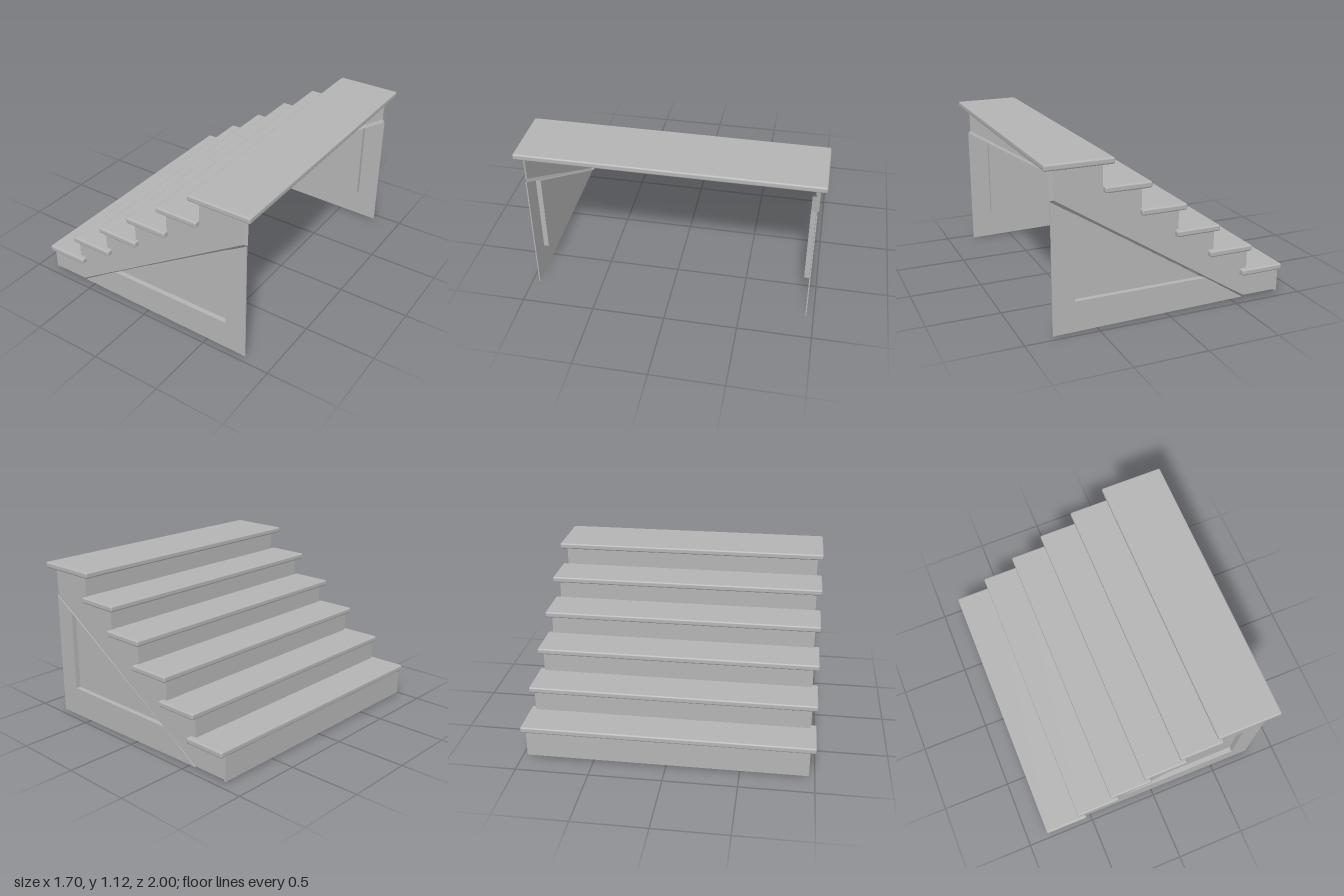
import * as THREE from 'three';
import { RoundedBoxGeometry } from 'three/addons/geometries/RoundedBoxGeometry.js';

export function createModel() {
  const stairs = new THREE.Group();
  stairs.name = 'staircase';
  const paint = new THREE.MeshStandardMaterial({ color: 0xb4b4b4, side: THREE.DoubleSide });
  paint.name = 'grey paint';

  const add = (geometry, name, parent = stairs) => {
    const mesh = new THREE.Mesh(geometry, paint);
    mesh.name = name;
    parent.add(mesh);
    return mesh;
  };

  // Flat plate from an outline in x/y, lying between two z depths
  const plate = (points, za, zb) => {
    const shape = new THREE.Shape(points.map(([x, y]) => new THREE.Vector2(x, y)));
    const geometry = new THREE.ExtrudeGeometry(shape, { depth: Math.abs(zb - za), bevelEnabled: false });
    return geometry.translate(0, 0, Math.min(za, zb));
  };

  // Open strip of quads joining two paths of equal length at two z depths
  const strip = (pathA, za, pathB, zb, flip) => {
    const positions = [];
    for (let i = 0; i < pathA.length - 1; i++) {
      const a = [...pathA[i], za], b = [...pathA[i + 1], za];
      const c = [...pathB[i + 1], zb], d = [...pathB[i], zb];
      const corners = flip ? [a, c, b, a, d, c] : [a, b, c, a, c, d];
      positions.push(...corners.flat());
    }
    const geometry = new THREE.BufferGeometry();
    geometry.setAttribute('position', new THREE.Float32BufferAttribute(positions, 3));
    geometry.computeVertexNormals();
    return geometry;
  };

  const thick = 0.042;
  const treads = [
    [-0.85, -0.54, 0.235], [-0.603, -0.288, 0.41], [-0.352, -0.04, 0.588],
    [-0.105, 0.21, 0.767], [0.145, 0.46, 0.945], [0.395, 0.85, 1.125],
  ];
  const riserX = [-0.845, -0.59, -0.328, -0.063, 0.2, 0.46];

  // Treads with softened edges, and the risers below them
  treads.forEach(([x0, x1, top], i) => {
    const tread = add(new RoundedBoxGeometry(x1 - x0, thick, 2, 2, 0.012), `tread${i + 1}`);
    tread.position.set((x0 + x1) / 2, top - thick / 2, 0);

    const low = i ? treads[i - 1][2] - thick / 2 : 0.02;
    const high = top - thick / 2;
    const riser = add(new THREE.BoxGeometry(0.012, high - low, 1.916), `riser${i + 1}`);
    riser.position.set(riserX[i] + 0.006, (low + high) / 2, 0);
  });

  // Stepped upper outline of the side board, from the top step down
  const steps = [];
  for (let i = 5; i >= 0; i--) {
    const y = treads[i][2] - thick / 2;
    steps.push([i === 5 ? 0.78 : riserX[i + 1], y], [riserX[i], y]);
  }

  const edgeOuter = [[-0.845, 0.02], [-0.57, 0.02], [0.8, 0.88], [0.8, 1.1]];
  const edgeInner = [[-0.845, 0.034], [-0.577, 0.034], [0.78, 0.892], [0.78, 1.1]];
  const recess = [[-0.28, 0.21], [0.65, 0.21], [0.65, 0.787]];

  for (const s of [1, -1]) {
    const side = new THREE.Group();
    side.name = s > 0 ? 'leftSide' : 'rightSide';
    stairs.add(side);

    // Stepped board and its bevelled lower and rear edge
    add(plate([...edgeInner.slice(0, 3), ...steps], s * 0.952, s * 0.96), 'steppedBoard', side);
    add(strip(edgeOuter, s * 0.938, edgeInner, s * 0.96, s < 0), 'boardBevel', side);

    // Lower frame, open along the diagonal
    const frame = [[-0.57, 0.02], [0.8, 0], [0.8, 0.88], recess[2], recess[1], recess[0]];
    add(plate(frame, s * 0.945, s * 0.953), 'lowerFrame', side);

    // Sunken panel with its surrounding walls
    add(plate(recess, s * 0.91, s * 0.918), 'sunkenPanel', side);
    const rim = [...recess, recess[0]];
    add(strip(rim, s * 0.91, rim, s * 0.953, s > 0), 'panelRim', side);
  }

  return stairs;
}
